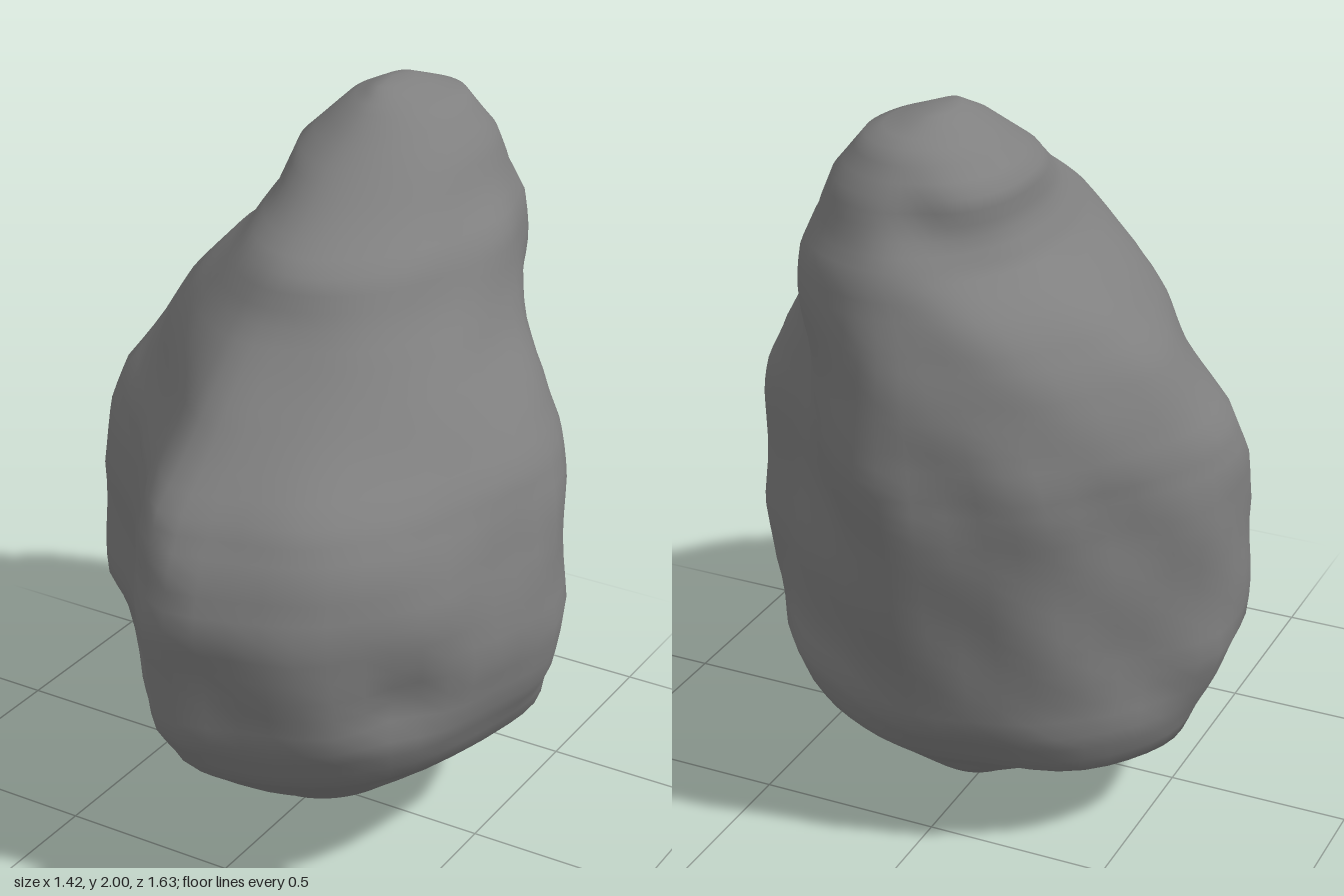
import * as THREE from 'three';

// Plan outline of the boulder at its widest (x, z), starting at the back
const outline = [
  [-0.02, -0.82], [0.13, -0.74], [0.25, -0.63], [0.46, -0.42], [0.63, -0.26], [0.71, -0.05],
  [0.67, 0.18], [0.6, 0.42], [0.5, 0.58], [0.37, 0.71], [0.15, 0.79], [-0.01, 0.82],
  [-0.12, 0.72], [-0.23, 0.53], [-0.43, 0.29], [-0.67, 0.05], [-0.71, -0.1], [-0.7, -0.26],
  [-0.55, -0.48], [-0.37, -0.69], [-0.2, -0.76],
];

// Level: y, left and right extent in x, back and front extent in z
const levels = [
  [0.01, -0.05, 0.08, -0.14, 0.07], [0.07, -0.15, 0.23, -0.31, 0.19], [0.17, -0.37, 0.35, -0.43, 0.34],
  [0.26, -0.58, 0.46, -0.55, 0.47], [0.4, -0.64, 0.61, -0.66, 0.65], [0.55, -0.7, 0.68, -0.69, 0.75],
  [0.72, -0.705, 0.71, -0.73, 0.785], [0.9, -0.71, 0.7, -0.77, 0.82], [1.05, -0.7, 0.68, -0.8, 0.79],
  [1.17, -0.67, 0.65, -0.81, 0.72], [1.3, -0.59, 0.58, -0.805, 0.56], [1.42, -0.52, 0.5, -0.79, 0.44],
  [1.54, -0.42, 0.44, -0.77, 0.33], [1.66, -0.28, 0.39, -0.74, 0.26], [1.75, -0.235, 0.32, -0.69, 0.11],
  [1.85, -0.225, 0.27, -0.66, -0.03], [1.95, -0.12, 0.18, -0.58, -0.18], [1.995, -0.03, 0.05, -0.45, -0.28],
];

// Dents (positive depth) and swellings (negative): x, y, z, radius, depth
const dents = [
  [0.52, 0.66, 0.48, 0.11, 0.05], [-0.07, 0.98, 0.76, 0.08, 0.025], [-0.06, 1.8, -0.66, 0.08, 0.02],
  [-0.42, 1.4, -0.48, 0.25, -0.03], [0.42, 1.3, -0.46, 0.27, 0.085], [0.45, 0.34, -0.36, 0.25, -0.06],
  [-0.46, 0.32, 0.2, 0.15, -0.035], [-0.45, 0.32, -0.42, 0.18, -0.035],
];

const COLS = 54;
const STEPS = 3;

function createBoulderGeometry() {
  const curve = new THREE.CatmullRomCurve3(
    outline.map(([x, z]) => new THREE.Vector3(x, 0, z)), true, 'centripetal');
  const ring = curve.getSpacedPoints(COLS).slice(0, COLS);
  const pos = [];
  const index = [];

  // Interpolate between the levels
  const rows = [];
  levels.forEach((level, i) => {
    const next = levels[i + 1];
    if (!next) return rows.push(level);
    for (let s = 0; s < STEPS; s++) {
      rows.push(level.map((v, k) => THREE.MathUtils.lerp(v, next[k], s / STEPS)));
    }
  });

  // Fit the outline to each level, rounder towards the top and bottom
  rows.forEach(([y, x0, x1, z0, z1]) => {
    const round = Math.max(0.95 * THREE.MathUtils.smoothstep(y, 0.95, 1.7),
      1 - THREE.MathUtils.smoothstep(y, 0.1, 0.5));
    const cz = z0 + (z1 - z0) * 0.43;
    const cx = (x0 + x1) * 0.5 * THREE.MathUtils.smoothstep(y, 1.4, 1.8);
    const fade = Math.min(1, y * 3, (2 - y) * 3);
    ring.forEach((p) => {
      let u = p.x / 0.71;
      let v = (p.z + 0.1) / (p.z > -0.1 ? 0.92 : 0.72);
      const k = THREE.MathUtils.lerp(1, 1 / Math.hypot(u, v), round);
      u *= k;
      v *= k;
      let x = cx + u * (u > 0 ? x1 - cx : cx - x0);
      let z = cz + v * (v > 0 ? z1 - cz : cz - z0);
      let push = 0.007 * fade * (Math.sin(9 * x + 5 * y + 1) * Math.sin(8 * y - 6 * z)
        + Math.sin(15 * z + 11 * y) * Math.sin(13 * x - 7 * y + 2));
      dents.forEach(([dx, dy, dz, size, depth]) => {
        const d2 = (x - dx) ** 2 + (y - dy) ** 2 + (z - dz) ** 2;
        push -= depth * Math.exp(-d2 / (size * size));
      });
      const len = Math.hypot(x - cx, z - cz);
      x += ((x - cx) / len) * push;
      z += ((z - cz) / len) * push;
      pos.push(x, y, z);
    });
  });

  // Side faces
  for (let r = 0; r < rows.length - 1; r++) {
    for (let c = 0; c < COLS; c++) {
      const a = r * COLS + c, b = r * COLS + (c + 1) % COLS;
      index.push(a, a + COLS, b + COLS, a, b + COLS, b);
    }
  }
  // Closing fans at the foot and the crown
  const foot = pos.length / 3, crown = foot + 1;
  pos.push(0.02, 0, -0.05, 0, 2, -0.37);
  const last = (rows.length - 1) * COLS;
  for (let c = 0; c < COLS; c++) {
    const n = (c + 1) % COLS;
    index.push(foot, c, n, crown, last + n, last + c);
  }

  const geometry = new THREE.BufferGeometry();
  geometry.setAttribute('position', new THREE.Float32BufferAttribute(pos, 3));
  geometry.setIndex(index);
  geometry.computeVertexNormals();
  return geometry;
}

export function createModel() {
  const group = new THREE.Group();
  group.name = 'rock';
  const boulder = new THREE.Mesh(createBoulderGeometry(),
    new THREE.MeshStandardMaterial({ color: 0x808080 }));
  boulder.name = 'boulder';
  group.add(boulder);
  return group;
}
